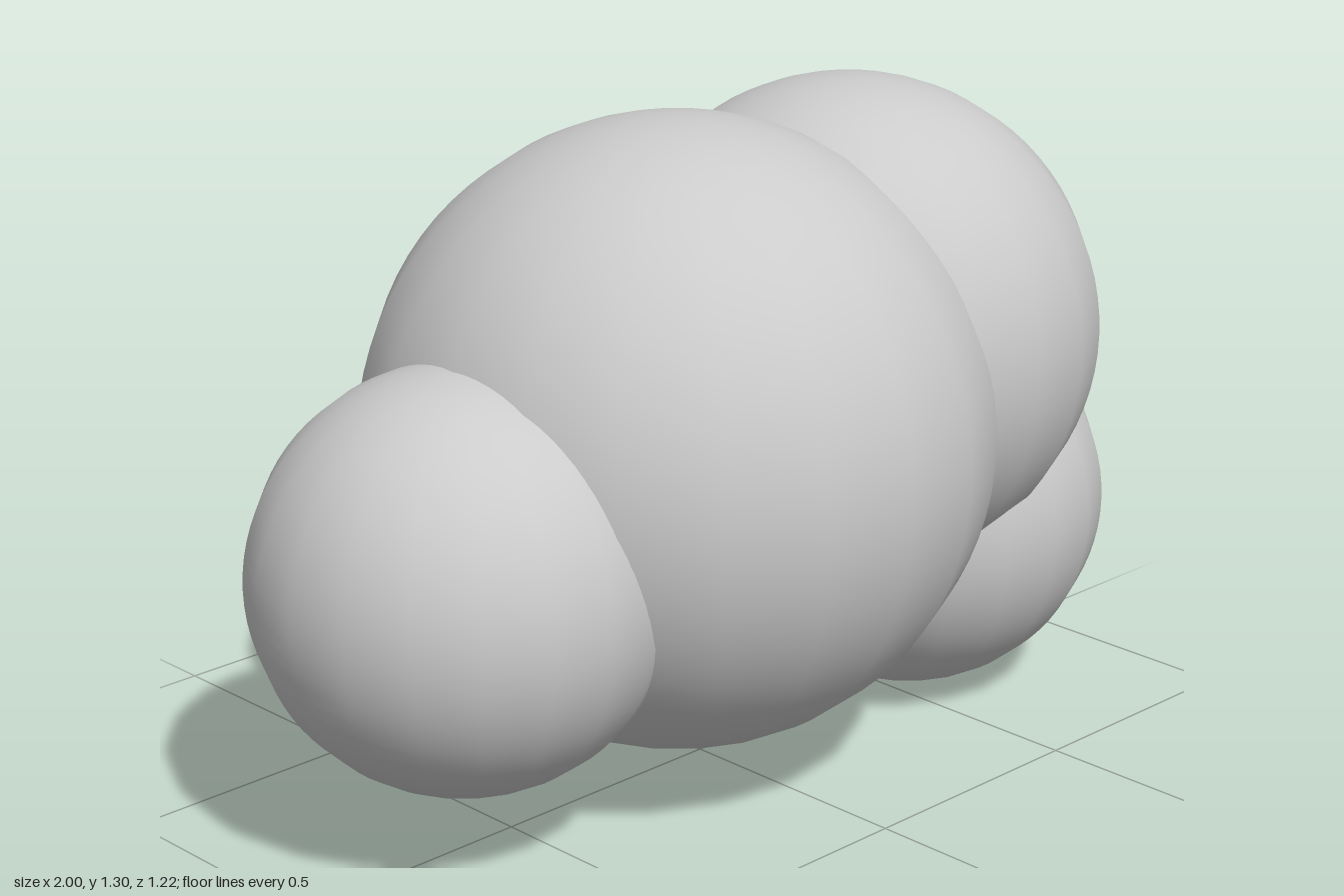
import * as THREE from 'three';

export function createModel() {
  const model = new THREE.Group();
  const material = new THREE.MeshStandardMaterial({ color: 0xcccccc });

  // Overlapping balls of a space-filling molecule: name, radius, x, y
  const atoms = [
    ['centralAtom', 0.61, -0.06, 0.69],
    ['upperAtom', 0.5, 0.41, 0.8],
    ['lowerSmallAtom', 0.4, 0.6, 0.4],
    ['sideSmallAtom', 0.4, -0.6, 0.535],
  ];

  for (const [name, radius, x, y] of atoms) {
    const atom = new THREE.Mesh(new THREE.SphereGeometry(radius, 20, 40), material);
    atom.name = name;
    atom.position.set(x, y, 0);
    model.add(atom);
  }
  return model;
}
